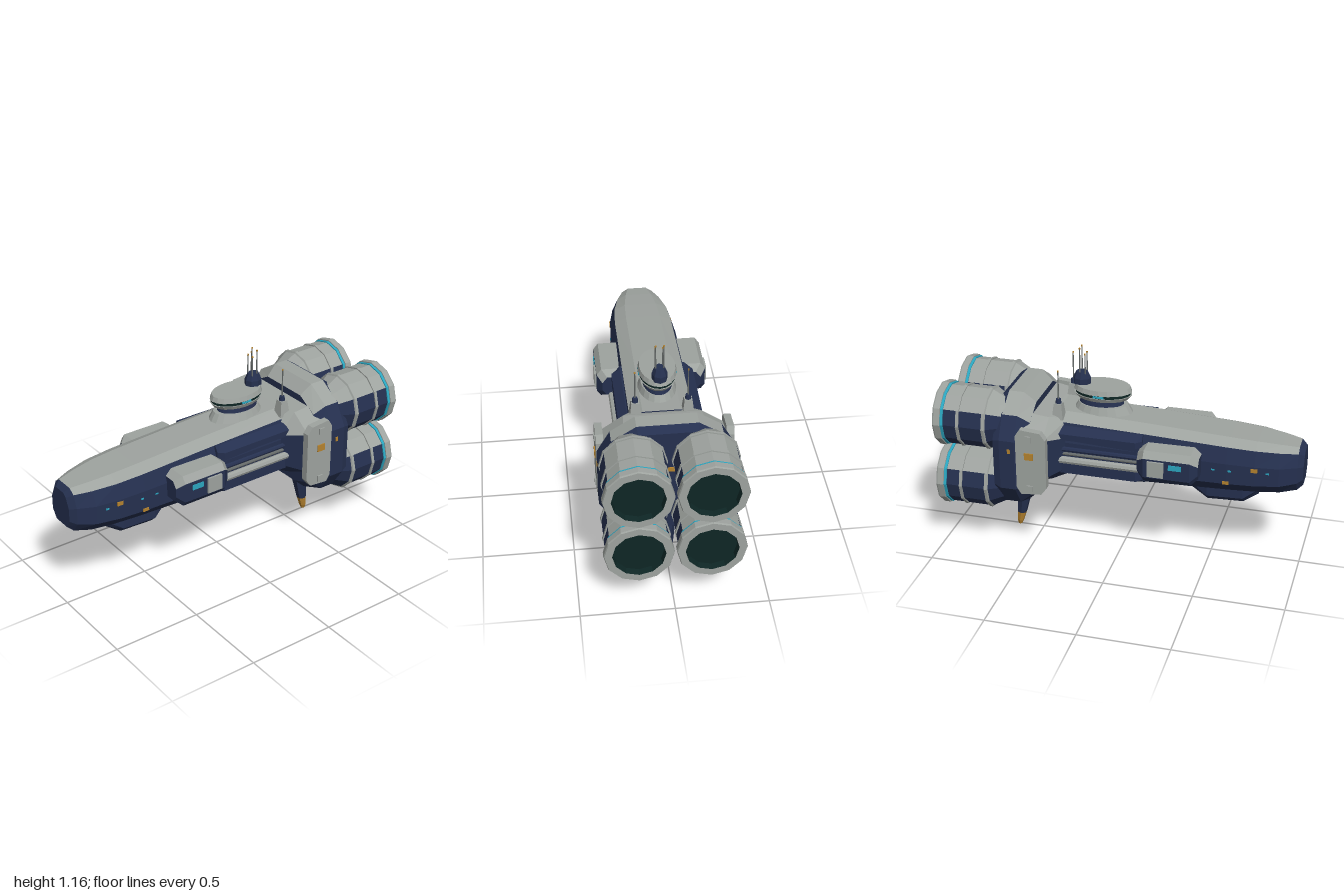
import * as THREE from 'three';

const mat = (name, color) => {
  const m = new THREE.MeshStandardMaterial({ color, flatShading: true });
  m.name = name;
  return m;
};

export function createModel() {
  const root = new THREE.Group();
  root.name = 'starship';
  const navy = mat('navy', 0x25304f), grey = mat('pale grey', 0x9ea39f), gold = mat('gold', 0xb5832f);
  const cyan = mat('cyan', 0x2ba6c0), dark = mat('dark teal', 0x0e2625), steel = mat('steel', 0x666b6a);

  const add = (name, geo, m, x = 0, y = 0, z = 0, parent = root) => {
    const mesh = new THREE.Mesh(geo, m);
    mesh.name = name;
    mesh.position.set(x, y, z);
    parent.add(mesh);
    return mesh;
  };
  const box = (name, m, w, h, d, x, y, z, parent) => add(name, new THREE.BoxGeometry(w, h, d), m, x, y, z, parent);

  // Skin over rings of [x, y, z]; paint(station, strip) picks a material, station -1 / -2 are the end caps
  function loft(name, rings, paint, parent = root) {
    const buckets = new Map();
    const put = (m, ...pts) => {
      if (!buckets.has(m)) buckets.set(m, []);
      pts.forEach(p => buckets.get(m).push(...p));
    };
    const n = rings[0].length;
    const mid = r => [0, 1, 2].map(a => r.reduce((s, p) => s + p[a], 0) / n);
    const first = rings[0], last = rings[rings.length - 1], c0 = mid(first), c1 = mid(last);
    for (let k = 0; k < n; k++) {
      const j = (k + 1) % n;
      for (let i = 0; i < rings.length - 1; i++) {
        const a = rings[i][k], b = rings[i][j], c = rings[i + 1][j], d = rings[i + 1][k];
        put(paint(i, k), a, d, c, a, c, b);
      }
      put(paint(-1, k), c0, first[k], first[j]);
      put(paint(-2, k), c1, last[j], last[k]);
    }
    const geo = new THREE.BufferGeometry(), all = [], mats = [];
    for (const [m, p] of buckets) {
      geo.addGroup(all.length / 3, p.length / 3, mats.length);
      mats.push(m);
      p.forEach(v => all.push(v));
    }
    geo.setAttribute('position', new THREE.Float32BufferAttribute(all, 3));
    geo.computeVertexNormals();
    return add(name, geo, mats, 0, 0, 0, parent);
  }
  // Ring from a half profile [z, y] running bottom to top, mirrored across z = 0
  const ring = (x, half) => [...half.map(([z, y]) => [x, y, z]), ...half.slice().reverse().map(([z, y]) => [x, y, -z])];

  // Main hull: x, bottom, top, half width, half width of the grey deck
  const hull = [
    [-1, 0.515, 0.715, 0.085, 0.06], [-0.97, 0.49, 0.74, 0.115, 0.09], [-0.88, 0.475, 0.752, 0.158, 0.125],
    [-0.75, 0.468, 0.765, 0.182, 0.155], [-0.6, 0.463, 0.775, 0.192, 0.165], [-0.13, 0.45, 0.80, 0.2, 0.168],
    [0.36, 0.44, 0.82, 0.205, 0.17],
  ].map(([x, b, t, w, g]) => ring(x, [[w * 0.6, b], [w, b + (t - b) * 0.24], [w, b + (t - b) * 0.62],
    [g, t - (t - b) * 0.1], [g * 0.6, t]]));
  loft('hull', hull, (i, k) => i > 0 && k >= 3 && k <= 5 ? grey : navy);

  // Widened rear flanks with recessed pipes
  loft('rearFlanks', [-0.14, -0.11, 0.34].map((x, i) => {
    const w = i ? 0.228 : 0.2;
    return ring(x, [[0.13, 0.452], [w, 0.50], [w, 0.56], [0.2, 0.57], [0.2, 0.69], [w, 0.70], [w, 0.735], [0.18, 0.765]]);
  }), () => navy);
  const pipeGeo = (r, l) => new THREE.CylinderGeometry(r, r, l, 8).rotateZ(Math.PI / 2);

  // Side pods, one body passing through the hull
  loft('sidePods', [[-0.465, 0.03], [-0.425, 0], [-0.17, 0], [-0.13, 0.03]].map(([x, s]) => ring(x, [
    [0.2, 0.55 + s], [0.285 - s, 0.55 + s], [0.307 - s, 0.58 + s], [0.307 - s, 0.69 - s],
    [0.28 - s, 0.727 - s], [0.18, 0.727 - s]])), (i, k) => i >= 0 && k >= 3 && k <= 7 ? grey : navy);

  // Keel pod
  loft('keelPod', [[-0.76, 0.42, 0.06], [-0.68, 0.37, 0.095], [-0.48, 0.362, 0.095], [-0.39, 0.41, 0.06]]
    .map(([x, b, w]) => ring(x, [[w * 0.6, b], [w, b + 0.035], [w, 0.49]])), () => navy);

  // Flared collar ahead of the engine block
  loft('collar', [[0.29, 0.445, 0.79, 0.2], [0.38, 0.43, 0.82, 0.335], [0.52, 0.39, 0.84, 0.352]]
    .map(([x, b, t, w]) => ring(x, [[w * 0.55, b], [w, b + 0.07], [w, t - 0.09], [w * 0.62, t]])),
  (i, k) => i >= 0 && k >= 2 && k <= 4 ? grey : navy);

  // Engine block
  loft('engineBlock', [[0.47, 0.83], [0.535, 1], [0.62, 1], [0.66, 0.92]].map(([x, s]) => ring(x, [
    [0.13, 0.25], [0.28, 0.31], [0.36, 0.43], [0.36, 0.72], [0.29, 0.845], [0.16, 0.93]]
    .map(([z, y]) => [z * (0.5 + s / 2), 0.59 + (y - 0.59) * s]))),
  (i, k) => (i === 0 || i === 1) && k >= 4 && k <= 6 ? grey : navy);
  box('rearLight', gold, 0.008, 0.025, 0.08, 0.662, 0.67, 0);

  // Four engines: x, radius, colour of the band behind that station (null = grey and navy panels)
  const profile = [
    [0.6, 0.115, null], [0.64, 0.135, null], [0.7, 0.168, grey], [0.705, 0.177, grey], [0.72, 0.177, grey],
    [0.72, 0.17, null], [0.85, 0.17, grey], [0.85, 0.177, grey], [0.867, 0.177, grey], [0.867, 0.17, null],
    [0.942, 0.17, cyan], [0.942, 0.176, cyan], [0.957, 0.176, grey], [0.957, 0.182, grey], [0.992, 0.182, grey],
    [1, 0.178, grey], [1, 0.138, dark], [0.965, 0.132, dark],
  ];
  for (const y of [0.77, 0.405]) for (const s of [1, -1]) {
    const rings = profile.map(([x, r]) => Array.from({ length: 12 }, (_, k) => {
      const a = k * Math.PI / 6;
      return [x, y - r * Math.cos(a), s * 0.187 + r * Math.sin(a)];
    }));
    loft('engine', rings, (i, k) => i === -2 ? dark : i === -1 ? navy
      : profile[i][2] || ([1, 2, 3, 8, 9, 10].includes(k) ? navy : grey));
  }

  // Ventral fin with gold tip, built from horizontal sections
  const fin = [[0.32, 0.545, 0.635, 0.055], [0.08, 0.607, 0.655, 0.027], [0.025, 0.625, 0.658, 0.022], [0, 0.635, 0.655, 0.012]];
  loft('fin', fin.map(([y, a, b, w]) => [[a, y, -w * 0.5], [a, y, w * 0.5], [(a + b) / 2, y, w],
    [b, y, w * 0.5], [b, y, -w * 0.5], [(a + b) / 2, y, -w]].reverse()).reverse(), (i) => i === 2 || i === -2 ? navy : gold);

  // Bridge tower: stacked elliptical discs
  const tower = new THREE.Group();
  tower.name = 'bridgeTower';
  root.add(tower);
  const disc = (name, m, x, r0, r1, y0, y1, squash = 0.64, n = 20) => add(name,
    new THREE.CylinderGeometry(r1, r0, y1 - y0, n).scale(1, 1, squash), m, x, (y0 + y1) / 2, 0, tower);
  disc('towerBase', grey, 0.13, 0.175, 0.14, 0.79, 0.85);
  disc('towerNeck', navy, 0.14, 0.125, 0.115, 0.85, 0.886);
  disc('saucerRim', grey, 0.132, 0.145, 0.163, 0.885, 0.908);
  disc('saucerBand', dark, 0.132, 0.155, 0.155, 0.908, 0.926);
  disc('saucerRoof', grey, 0.132, 0.163, 0.152, 0.926, 0.953);
  for (const s of [1, -1]) box('bridgeWindow', cyan, 0.06, 0.01, 0.008, 0.132, 0.917, s * 0.099, tower);
  disc('turret', navy, 0.25, 0.05, 0.05, 0.95, 0.985, 0.85, 8);
  disc('turretTop', navy, 0.25, 0.05, 0.033, 0.985, 1.022, 0.85, 8);

  const mast = (x, z, y0, y1, r = 0.0045) => {
    add('mast', new THREE.CylinderGeometry(r * 0.7, r, y1 - y0, 6), steel, x, (y0 + y1) / 2, z);
    add('mastTip', new THREE.CylinderGeometry(r, r, 0.008, 6), gold, x, y1, z);
  };

  // Details repeated on both flanks
  for (const s of [1, -1]) {
    mast(0.257, s * 0.022, 1.01, 1.16);
    mast(0.228, s * 0.02, 1.01, 1.128);
    mast(0.345, s * 0.14, 0.88, 1.065);
    add('mastBase', new THREE.CylinderGeometry(0.03, 0.045, 0.09, 4).rotateY(Math.PI / 4), grey, 0.345, 0.835, s * 0.14);
    add('mastSocket', new THREE.CylinderGeometry(0.014, 0.018, 0.03, 8), navy, 0.345, 0.89, s * 0.14);

    add('flankPipe', pipeGeo(0.021, 0.47), grey, 0.11, 0.58, s * 0.225);
    add('upperPipe', pipeGeo(0.014, 0.47), navy, 0.11, 0.64, s * 0.212);
    add('thinPipe', pipeGeo(0.009, 0.45), steel, 0.11, 0.612, s * 0.212);

    // Collar armour plate with clipped corners
    const plate = new THREE.Shape([[0.385, 0.42], [0.5, 0.41], [0.525, 0.45], [0.525, 0.76], [0.5, 0.8], [0.385, 0.79],
      [0.355, 0.75], [0.355, 0.46]].map(p => new THREE.Vector2(...p)));
    add('armourPlate', new THREE.ExtrudeGeometry(plate, { depth: 0.04, bevelEnabled: false }), grey, 0, 0, s > 0 ? 0.322 : -0.362);
    box('armourMarker', gold, 0.05, 0.04, 0.008, 0.45, 0.645, s * 0.364);
    for (const y of [0.45, 0.75]) box('armourBolt', grey, 0.035, 0.035, 0.012, 0.45, y, s * 0.364);

    // Pod hatch and lights
    box('podHatch', grey, 0.09, 0.09, 0.02, -0.24, 0.635, s * 0.308);
    box('podWindow', cyan, 0.07, 0.03, 0.008, -0.345, 0.655, s * 0.307);

    // Small hull markers
    box('hullMarker', gold, 0.035, 0.022, 0.008, -0.75, 0.632, s * 0.182);
    box('hullMarker', gold, 0.035, 0.018, 0.008, -0.6, 0.545, s * 0.192);
    box('blockMarker', gold, 0.016, 0.025, 0.008, 0.565, 0.66, s * 0.36);
    for (const x of [-0.82, -0.62, -0.53]) box('porthole', cyan, 0.018, 0.008, 0.008, x, 0.617, s * (x < -0.8 ? 0.169 : 0.191));
  }
  return root;
}
